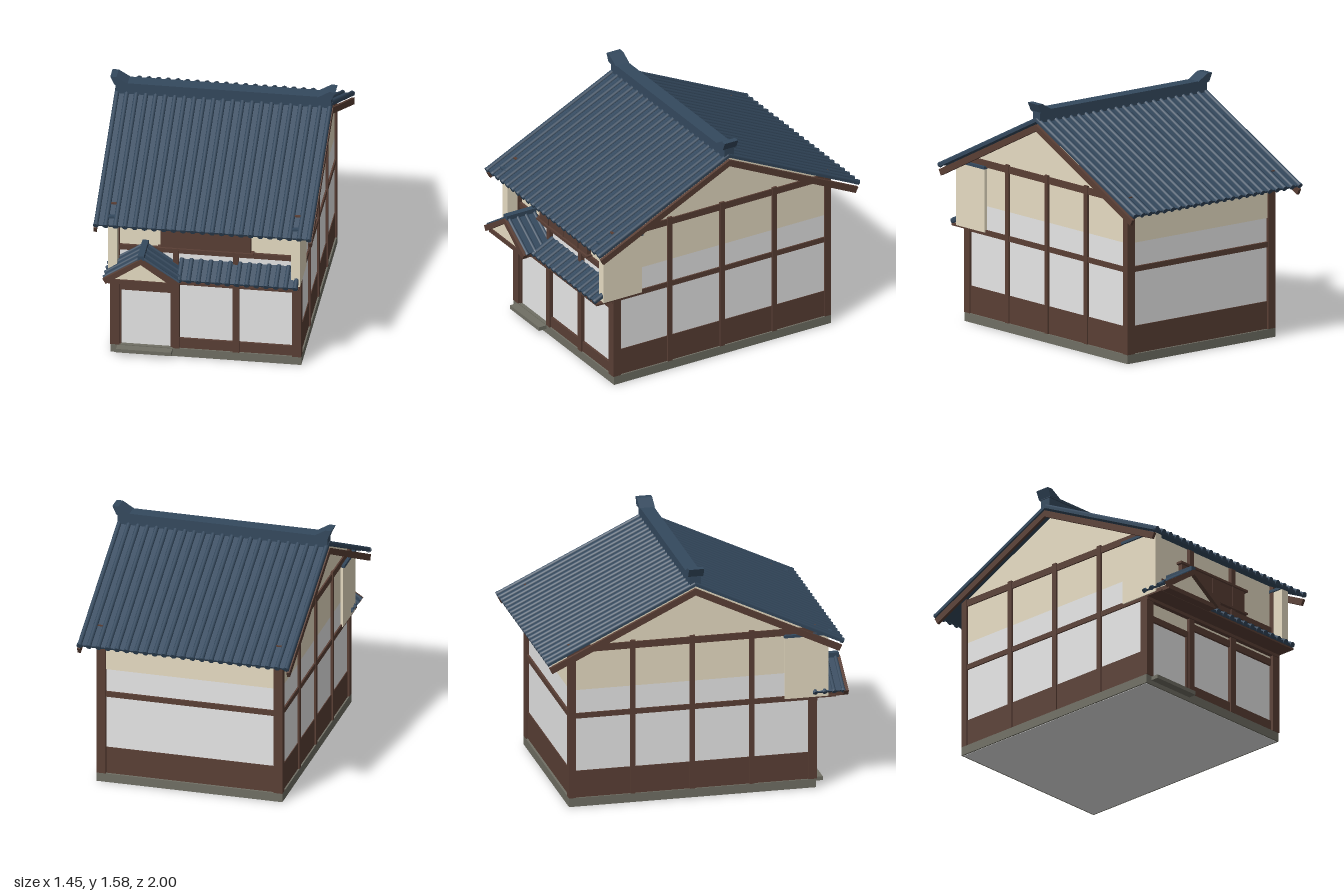
import * as THREE from 'three';

const mat = (name, color, extra = {}) => {
  const m = new THREE.MeshStandardMaterial({ color, ...extra });
  m.name = name;
  return m;
};

export function createModel() {
  const tile = mat('blue tile', 0x34495e);
  const wood = mat('dark wood', 0x5a3f35);
  const cream = mat('cream plaster', 0xf6ebd0);
  const white = mat('white plaster', 0xf8f8f8);
  const stone = mat('stone', 0x706f64);

  const model = new THREE.Group();
  model.name = 'townhouse';
  const house = new THREE.Group();
  house.name = 'house';
  house.position.z = -0.02; // the porch makes the front longer than the back
  model.add(house);

  const add = (name, geo, material, parent = house) => {
    const mesh = new THREE.Mesh(geo, material);
    mesh.name = name;
    parent.add(mesh);
    return mesh;
  };
  // Box given by its limits on each axis
  const box = (name, m, x0, x1, y0, y1, z0, z1, parent) => {
    const b = add(name, new THREE.BoxGeometry(x1 - x0, y1 - y0, z1 - z0), m, parent);
    b.position.set((x0 + x1) / 2, (y0 + y1) / 2, (z0 + z1) / 2);
    return b;
  };
  const prism = (name, m, pts, depth) => add(name, new THREE.ExtrudeGeometry(
    new THREE.Shape(pts.map(([x, y]) => new THREE.Vector2(x, y))),
    { depth, bevelEnabled: false }), m);

  // Slab with round tile ribs; starts at its top edge and falls along +z
  const tiledSlope = (name, width, run, drop, ribs, yaw, pos, r = 0.015) => {
    const g = new THREE.Group();
    g.name = name;
    const len = Math.hypot(run, drop);
    box('tileBed', tile, -width / 2, width / 2, -0.014, 0, 0, len, g);
    const ribGeo = new THREE.CylinderGeometry(r, r, len, 8).rotateX(Math.PI / 2);
    const capGeo = new THREE.CylinderGeometry(r * 1.2, r * 1.2, 0.016, 10).rotateX(Math.PI / 2);
    for (let i = 0; i < ribs; i++) {
      const x = (i / (ribs - 1) - 0.5) * (width - 2 * r);
      add('tileRib', ribGeo, tile, g).position.set(x, 0, len / 2);
      add('eaveCap', capGeo, tile, g).position.set(x, -0.002, len);
    }
    g.rotation.order = 'YXZ';
    g.rotation.set(Math.atan2(drop, run), yaw, 0);
    g.position.set(...pos);
    house.add(g);
  };

  // Foundation and doorstep
  box('foundation', stone, -0.615, 0.615, 0.002, 0.06, -0.81, 0.81);
  box('floorUnderside', white, -0.605, 0.605, 0, 0.003, -0.8, 0.8);
  box('doorstep', stone, -0.57, -0.215, 0.03, 0.055, 0.81, 0.865);

  // Walls: white below, cream gable block above
  box('lowerWall', white, -0.6, 0.6, 0.06, 0.785, -0.79, 0.785);
  prism('gableWall', cream,
    [[-0.8, 0.785], [0.785, 0.785], [0.785, 1.08], [0, 1.455], [-0.8, 1.075]], 1.2)
    .rotation.y = -Math.PI / 2;
  house.children.at(-1).position.x = 0.6;

  // Timber frame on the two sides
  for (const s of [-1, 1]) {
    const side = (name, m, out, y0, y1, z0, z1) =>
      box(name, m, Math.min(s * 0.57, s * out), Math.max(s * 0.57, s * out), y0, y1, z0, z1);
    side('sideBoards', wood, 0.605, 0.06, 0.24, -0.79, 0.785);
    side('sideBeam', wood, 0.61, 0.595, 0.63, -0.8, 0.8);
    side('sideTopBeam', wood, 0.61, 1.04, 1.085, -0.8, 0.8);
    for (const z of [-0.39, 0, 0.39]) side('sidePost', wood, 0.615, 0.06, 1.095, z - 0.017, z + 0.017);
    for (const [z0, z1] of [[-0.81, -0.765], [0.76, 0.815]])
      box('cornerPost', wood, s > 0 ? 0.555 : -0.615, s > 0 ? 0.615 : -0.555, 0.06, 1.09, z0, z1);

    // Plaster sleeve wall with its small tile cap
    box('sleeveWall', cream, s > 0 ? 0.56 : -0.618, s > 0 ? 0.618 : -0.56, 0.615, 1.035, 0.605, 0.89);
    box('sleeveCap', tile, s > 0 ? 0.55 : -0.63, s > 0 ? 0.63 : -0.55, 1.03, 1.048, 0.6, 0.915);
  }

  // Back boards and beam
  box('backBoards', wood, -0.6, 0.6, 0.06, 0.24, -0.796, -0.77);
  box('backBeam', wood, -0.6, 0.6, 0.595, 0.63, -0.805, -0.77);

  // Ground floor front
  for (const x of [-0.193, 0.193]) {
    box('frontPost', wood, x - 0.022, x + 0.022, 0.06, 0.62, 0.76, 0.812);
    box('upperPost', wood, x - 0.018, x + 0.018, 0.62, 1.08, 0.76, 0.812);
  }
  box('frontBeam', wood, -0.61, 0.61, 0.585, 0.625, 0.76, 0.82);
  box('eaveBoard', wood, -0.615, 0.615, 0.605, 0.617, 0.8, 0.94);
  box('doorLintel', wood, -0.56, -0.21, 0.455, 0.495, 0.77, 0.8);
  box('doorTransom', cream, -0.56, -0.21, 0.495, 0.585, 0.78, 0.789);
  for (const x of [-0.555, -0.222]) box('doorJamb', wood, x - 0.008, x + 0.008, 0.06, 0.455, 0.77, 0.8);
  for (const [x0, x1] of [[-0.172, 0.172], [0.215, 0.56]]) {
    box('panelSill', wood, x0, x1, 0.06, 0.13, 0.77, 0.8);
    box('panelHead', wood, x0, x1, 0.52, 0.565, 0.77, 0.8);
    box('panelTransom', cream, x0, x1, 0.565, 0.585, 0.78, 0.789);
  }

  // Upper front: beam and shuttered window
  box('upperBeam', wood, -0.56, 0.56, 0.75, 0.785, 0.77, 0.803);
  box('windowShutters', wood, -0.29, 0.29, 0.79, 0.945, 0.78, 0.815);
  box('windowLintel', wood, -0.31, 0.31, 0.94, 0.955, 0.78, 0.828);
  box('windowSill', wood, -0.31, 0.31, 0.783, 0.795, 0.78, 0.828);
  for (const x of [-0.18, 0, 0.18]) box('shutterBatten', wood, x - 0.006, x + 0.006, 0.795, 0.94, 0.8, 0.821);

  // Main roof, with gable boards
  for (const [name, yaw] of [['frontRoof', 0], ['backRoof', Math.PI]])
    tiledSlope(name, 1.4, 0.965, 0.462, 23, yaw, [0, 1.472, 0]);
  for (const s of [-1, 1]) {
    const board = prism('gableBoard', wood, [[-0.96, 0.98], [-0.94, 0.943], [0, 1.396],
      [0.94, 0.943], [0.96, 0.98], [0, 1.44]], 0.02);
    board.rotation.y = Math.PI / 2;
    board.position.x = s * 0.693 - 0.01;
  }

  // Ridge and its flared ends
  box('ridge', tile, -0.695, 0.695, 1.455, 1.52, -0.036, 0.036);
  box('ridgeCap', tile, -0.7, 0.7, 1.52, 1.537, -0.045, 0.045);
  for (const s of [-1, 1])
    prism('ridgeEnd', tile, [[0.7, 1.525], [0.725, 1.58], [0.685, 1.58], [0.61, 1.535]]
      .map(([x, y]) => [s * x, y]), 0.1).position.z = -0.05;

  // Lean-to roof over the front panels
  tiledSlope('leanToRoof', 0.78, 0.15, 0.075, 13, 0, [0.22, 0.71, 0.795]);

  // Porch gable over the door
  const px = -0.39;
  prism('porchGable', cream, [[px - 0.2, 0.63], [px + 0.2, 0.63], [px, 0.785]], 0.205).position.z = 0.785;
  box('porchTie', wood, px - 0.215, px + 0.215, 0.607, 0.637, 0.8, 1.0);
  for (const s of [-1, 1])
    tiledSlope('porchRoof', 0.21, 0.235, 0.158, 4, s * Math.PI / 2, [px, 0.806, 0.895], 0.012);
  prism('porchBargeBoards', wood, [[px - 0.245, 0.645], [px - 0.225, 0.612], [px, 0.768],
    [px + 0.225, 0.612], [px + 0.245, 0.645], [px, 0.805]], 0.032).position.z = 0.988;
  box('porchRidge', tile, px - 0.02, px + 0.02, 0.795, 0.826, 0.79, 1.01);

  return model;
}
